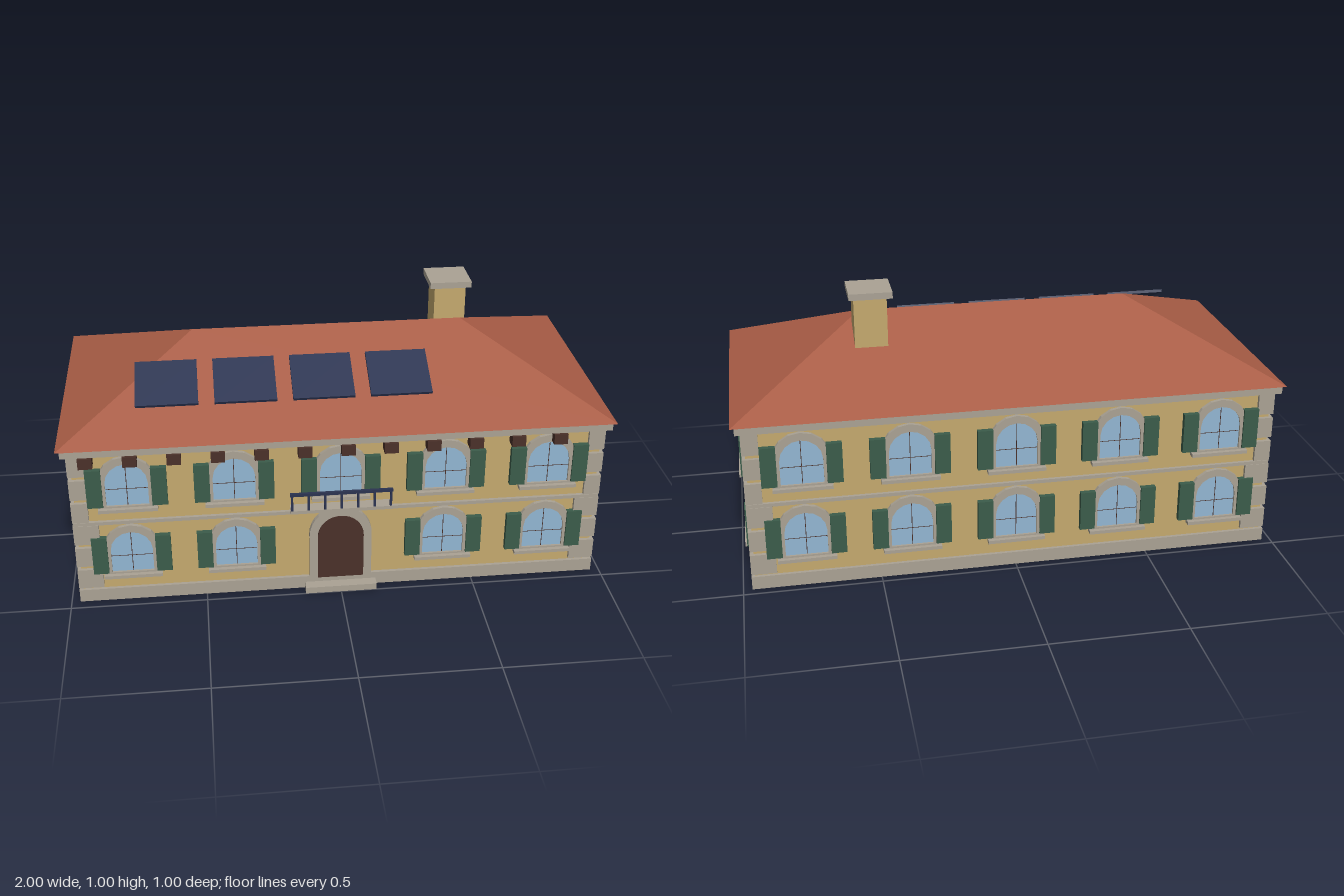
import * as THREE from 'three';
import { ConvexGeometry } from 'three/addons/geometries/ConvexGeometry.js';

const mat = (name, color) => Object.assign(new THREE.MeshStandardMaterial({ color }), { name });
const CZ = -0.004;             // centre of the house body in z
const WALL_X = 0.955, WALL_Z = 0.453;

export function createModel() {
  const house = new THREE.Group();
  house.name = 'villa';
  const stucco = mat('ochre stucco', 0xc4a96e);
  const stone = mat('grey stone', 0xaaa294);
  const tile = mat('terracotta tile', 0xa85c45);
  const glass = mat('window glass', 0x92b6d2);
  const green = mat('shutter green', 0x3b5c4a);
  const wood = mat('dark wood', 0x4a3029);
  const navy = mat('dark blue', 0x2a3350);

  const add = (parent, name, geometry, material, x = 0, y = 0, z = 0) => {
    const mesh = new THREE.Mesh(geometry, material);
    mesh.name = name;
    mesh.position.set(x, y, z);
    parent.add(mesh);
    return mesh;
  };
  // Box given by its extents on each axis
  const box = (parent, name, material, x0, x1, y0, y1, z0, z1) =>
    add(parent, name, new THREE.BoxGeometry(x1 - x0, y1 - y0, z1 - z0), material,
      (x0 + x1) / 2, (y0 + y1) / 2, (z0 + z1) / 2);
  // Storey-wide slab centred on the house
  const slab = (name, material, hx, hz, y0, y1) =>
    box(house, name, material, -hx, hx, y0, y1, CZ - hz, CZ + hz);

  // Round-headed outline: straight jambs below a half circle
  const archPath = (Type, r, bottom, spring) => {
    const p = new Type();
    p.moveTo(-r, bottom);
    p.lineTo(r, bottom);
    p.lineTo(r, spring);
    p.absarc(0, spring, r, 0, Math.PI, false);
    p.lineTo(-r, bottom);
    return p;
  };
  const extrude = (shape, depth, curveSegments) =>
    new THREE.ExtrudeGeometry(shape, { depth, curveSegments, bevelEnabled: false });

  // Main body
  slab('plinth', stone, 0.968, 0.465, 0, 0.05);
  slab('walls', stucco, WALL_X, WALL_Z, 0.05, 0.62);
  slab('beltCourse', stone, 0.966, 0.465, 0.328, 0.341);
  slab('cornice', stone, 0.985, 0.486, 0.62, 0.648);

  // Hipped roof
  const roofPoints = [];
  for (const sx of [-1, 1]) {
    for (const sz of [-1, 1]) roofPoints.push(new THREE.Vector3(sx, 0.648, CZ + sz * 0.492));
    roofPoints.push(new THREE.Vector3(sx * 0.508, 0.875, CZ));
  }
  add(house, 'roof', new ConvexGeometry(roofPoints), tile);

  // Corner quoins, alternating long and short
  for (const sx of [-1, 1]) for (const sz of [-1, 1]) {
    for (let i = 0; i < 6; i++) {
      const w = i % 2 ? 0.06 : 0.092, d = i % 2 ? 0.092 : 0.06;
      add(house, 'quoin', new THREE.BoxGeometry(w, 0.079, d), stone,
        sx * (0.968 - w / 2), 0.099 + i * 0.0945, CZ + sz * (0.466 - d / 2));
    }
  }

  // Window parts, shared by every window
  const frameShape = archPath(THREE.Shape, 0.105, 0.115, 0.217);
  frameShape.holes.push(archPath(THREE.Path, 0.076, 0.123, 0.217));
  const frameGeo = extrude(frameShape, 0.014, 4);
  const glassGeo = new THREE.ShapeGeometry(archPath(THREE.Shape, 0.077, 0.122, 0.217), 4);
  const makeWindow = (x, y, z, turn) => {
    const w = new THREE.Group();
    w.name = 'window';
    w.position.set(x, y, z);
    w.rotation.y = turn;
    add(w, 'windowFrame', frameGeo, stone);
    add(w, 'windowPane', glassGeo, glass, 0, 0, 0.006);
    box(w, 'mullion', wood, -0.0012, 0.0012, 0.123, 0.29, 0.005, 0.0068);
    box(w, 'transom', wood, -0.075, 0.075, 0.189, 0.191, 0.005, 0.0068);
    box(w, 'sill', stone, -0.106, 0.106, 0.103, 0.116, 0, 0.029);
    for (const s of [-1, 1]) {
      add(w, 'shutter', new THREE.BoxGeometry(0.056, 0.152, 0.02), green, s * 0.115, 0.199, 0.011);
    }
    house.add(w);
  };

  // Windows on both storeys of all four sides; the door takes the front centre
  for (const y of [0, 0.283]) {
    for (const x of [-0.765, -0.384, 0, 0.384, 0.765]) {
      if (x !== 0 || y > 0) makeWindow(x, y, CZ + WALL_Z, 0);
      makeWindow(x, y, CZ - WALL_Z, Math.PI);
    }
    for (const z of [-0.228, 0.228]) {
      makeWindow(WALL_X, y, z, Math.PI / 2);
      makeWindow(-WALL_X, y, z, -Math.PI / 2);
    }
  }

  // Entrance
  const surround = archPath(THREE.Shape, 0.115, 0.05, 0.235);
  surround.holes.push(archPath(THREE.Path, 0.084, 0.05, 0.231));
  add(house, 'doorSurround', extrude(surround, 0.025, 8), stone, 0, 0, 0.444);
  add(house, 'door', extrude(archPath(THREE.Shape, 0.085, 0.05, 0.23), 0.03, 8), wood, 0, 0, 0.443);
  box(house, 'doorStep', stone, -0.133, 0.133, 0, 0.025, 0.45, 0.5);

  // Balcony
  box(house, 'balconySlab', stone, -0.185, 0.185, 0.35, 0.363, 0.445, 0.497);
  box(house, 'balconyRail', navy, -0.187, 0.187, 0.423, 0.434, 0.486, 0.497);
  for (let i = -3; i <= 3; i++) {
    box(house, 'baluster', navy, i * 0.06 - 0.004, i * 0.06 + 0.004, 0.363, 0.425, 0.488, 0.496);
  }

  // Rafter ends under the front eave
  for (let i = 0; i < 12; i++) {
    const x = -0.9 + i * 0.154;
    box(house, 'rafterEnd', wood, x - 0.025, x + 0.025, 0.58, 0.62, 0.445, 0.493);
  }

  // Solar panels lying just above the front slope
  for (let i = 0; i < 4; i++) {
    const panel = add(house, 'solarPanel', new THREE.BoxGeometry(0.224, 0.011, 0.204), navy,
      -0.609 + i * 0.2815, 0.778, 0.246);
    panel.rotation.x = Math.atan2(0.227, 0.492);
  }

  // Chimney
  box(house, 'chimney', stucco, 0.42, 0.54, 0.7, 0.98, -0.184, -0.064);
  box(house, 'chimneyCap', stone, 0.4, 0.558, 0.979, 1.003, -0.204, -0.045);

  return house;
}
